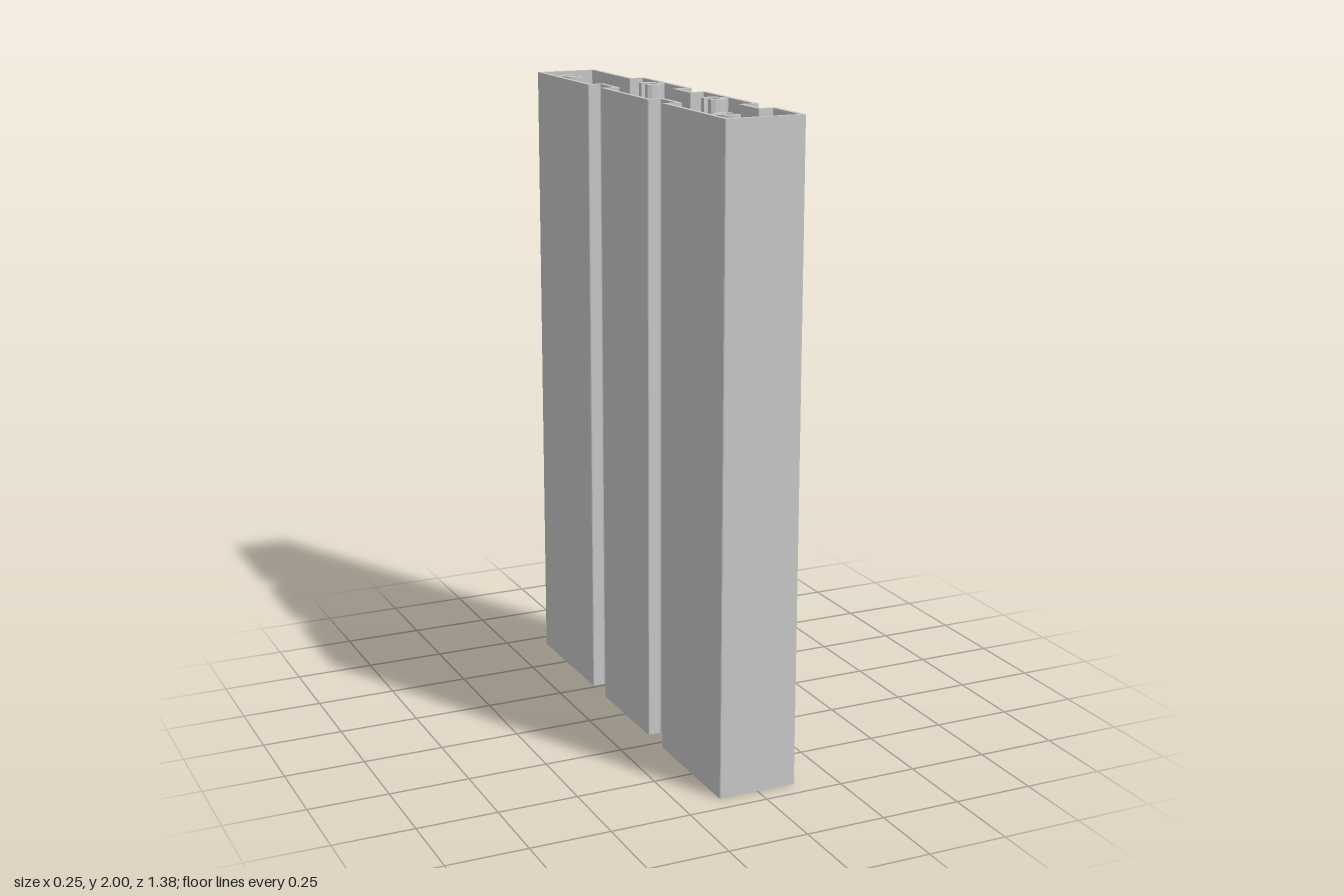
import * as THREE from 'three';
import { toCreasedNormals } from 'three/addons/utils/BufferGeometryUtils.js';

const HEIGHT = 2;
const WALL = 0.014;

// Outer outline in plan as [x, z], running down the +x side and back up the -x side
const OUTLINE = [
  [-0.125, -0.69], [0.079, -0.69],
  [0.079, -0.388], [0.125, -0.388],
  [0.125, -0.04], [0.079, -0.04], [0.079, 0.059], [0.125, 0.059],
  [0.125, 0.407], [0.079, 0.407], [0.079, 0.506], [0.125, 0.506],
  [0.125, 0.69], [-0.125, 0.69],
  [-0.125, 0.282], [-0.081, 0.282], [-0.081, 0.183], [-0.125, 0.183],
  [-0.125, -0.165], [-0.081, -0.165], [-0.081, -0.264], [-0.125, -0.264],
];

// Moves every edge of a right-angled outline inward by d
function inset(points, d) {
  const n = points.length;
  const normal = (a, b) => {
    const l = Math.hypot(b[0] - a[0], b[1] - a[1]);
    return [-(b[1] - a[1]) / l, (b[0] - a[0]) / l];
  };
  return points.map((p, i) => {
    const n1 = normal(points[(i + n - 1) % n], p);
    const n2 = normal(p, points[(i + 1) % n]);
    return [p[0] + d * (n1[0] + n2[0]), p[1] + d * (n1[1] + n2[1])];
  });
}

// Traces an outline with small rounded corners
function trace(path, points, r) {
  const n = points.length;
  const toward = (p, q) => {
    const l = Math.hypot(q[0] - p[0], q[1] - p[1]);
    return [p[0] + (q[0] - p[0]) * r / l, -(p[1] + (q[1] - p[1]) * r / l)];
  };
  points.forEach((p, i) => {
    const a = toward(p, points[(i + n - 1) % n]);
    const b = toward(p, points[(i + 1) % n]);
    if (i === 0) path.moveTo(...a); else path.lineTo(...a);
    path.quadraticCurveTo(p[0], -p[1], ...b);
  });
  path.closePath();
  return path;
}

// Extrudes a plan shape upward from y = 0
function extrudeUp(shape, curveSegments) {
  const geometry = new THREE.ExtrudeGeometry(shape, { depth: HEIGHT, bevelEnabled: false, curveSegments });
  return geometry.rotateX(-Math.PI / 2);
}

// C-shaped screw channel, open toward +x, with a short stem on its closed side
function channelShape() {
  const R = 0.04, cut = 0.022, stem = 0.006, reach = -0.053;
  const a = Math.acos(cut / R), s = Math.asin(stem / R);
  // Upper half of the inner wall, from the lip to the closed side
  const inner = [[cut, 0.013], [0.006, 0.022], [-0.01, 0.018], [-0.025, 0.004]];
  const shape = new THREE.Shape();
  shape.moveTo(cut, R * Math.sin(a));
  shape.absarc(0, 0, R, a, Math.PI - s, false);
  shape.lineTo(reach, stem);
  shape.lineTo(reach, -stem);
  shape.absarc(0, 0, R, Math.PI + s, 2 * Math.PI - a, false);
  inner.forEach(([x, y]) => shape.lineTo(x, -y));
  inner.reverse().forEach(([x, y]) => shape.lineTo(x, y));
  shape.closePath();
  return shape;
}

export function createModel() {
  const group = new THREE.Group();
  group.name = 'hollowProfile';
  const aluminium = new THREE.MeshStandardMaterial({ color: 0xc8c8c8 });
  aluminium.name = 'aluminium grey';

  // Hollow grooved shell; the hole runs against the outline so its walls face inward
  const shellShape = trace(new THREE.Shape(), OUTLINE, 0.006);
  shellShape.holes.push(trace(new THREE.Path(), inset(OUTLINE, WALL).reverse(), 0.003));
  const shell = new THREE.Mesh(extrudeUp(shellShape, 3), aluminium);
  shell.name = 'shell';
  group.add(shell);

  // Screw channels along the inside walls: [side, z]
  const channel = toCreasedNormals(extrudeUp(channelShape(), 14), 0.4);
  [[-1, -0.538], [1, -0.215], [1, 0.231], [-1, 0.585]].forEach(([side, z], i) => {
    const mesh = new THREE.Mesh(channel, aluminium);
    mesh.name = `screwChannel${i + 1}`;
    mesh.position.set(side * 0.063, 0, z);
    if (side > 0) mesh.rotation.y = Math.PI;
    group.add(mesh);
  });

  return group;
}
